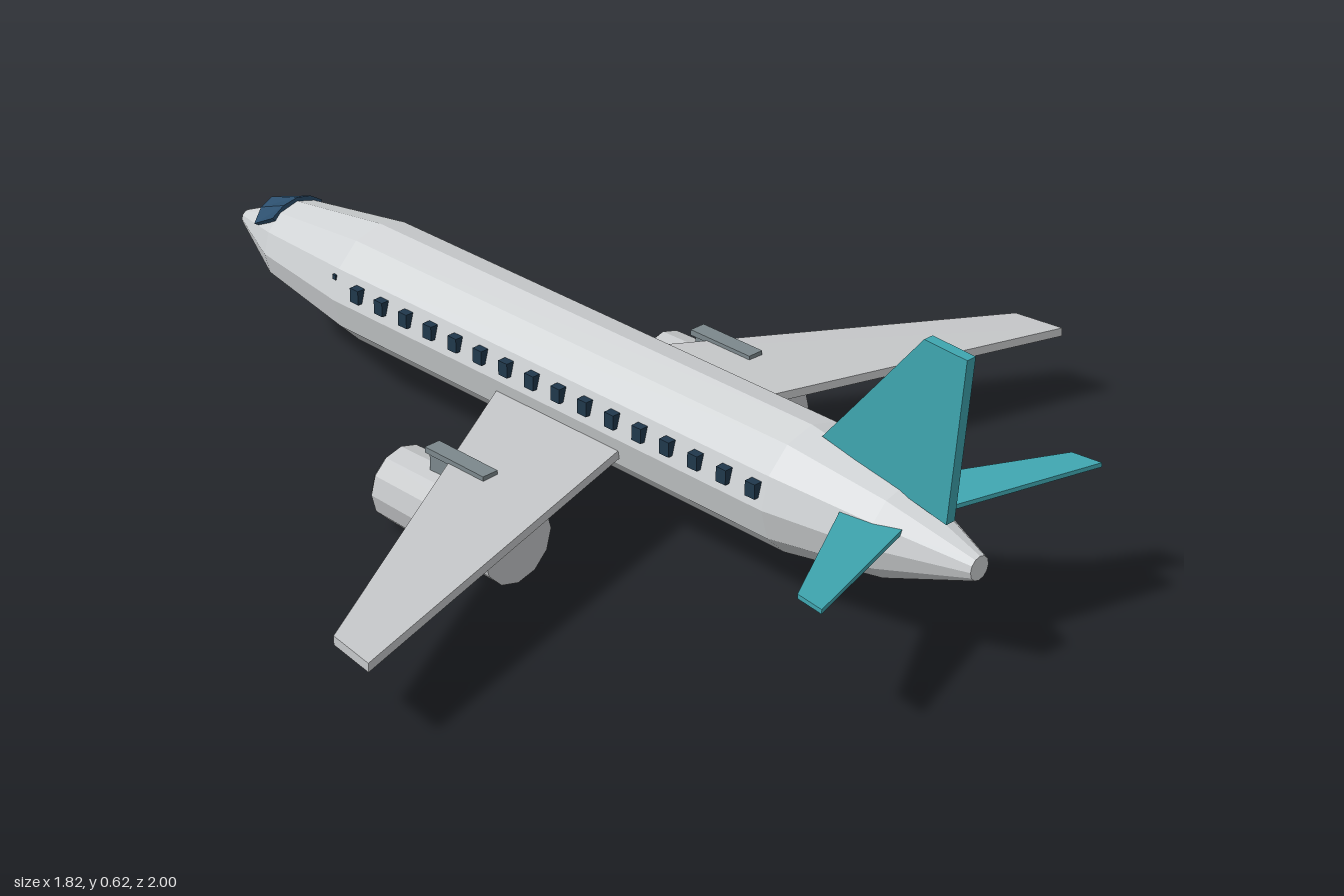
import * as THREE from 'three';
import { ConvexGeometry } from 'three/addons/geometries/ConvexGeometry.js';

const AXIS_Y = 0.234;

function makeMaterial(name, color) {
  const m = new THREE.MeshStandardMaterial({ color, flatShading: true });
  m.name = name;
  return m;
}

// Tapered slab: four corners and an extrusion offset
function slab(corners, offset) {
  const pts = [];
  for (const c of corners) {
    const p = new THREE.Vector3(...c);
    pts.push(p, p.clone().add(new THREE.Vector3(...offset)));
  }
  return new ConvexGeometry(pts);
}

// Cockpit glass: a raised band wrapped over the nose cone
function cockpitGlass() {
  const rows = [
    { r: 0.08, half: 0.74, z: -0.835, bow: 0 },
    { r: 0.098, half: 0.74, z: -0.835, bow: 0 },
    { r: 0.073, half: 1.03, z: -0.9, bow: -0.018 },
    { r: 0.045, half: 1.03, z: -0.9, bow: -0.018 },
  ];
  const cols = 4, pos = [], index = [];
  rows.forEach((row) => {
    for (let i = 0; i <= cols; i++) {
      const t = (i / cols) * 2 - 1, a = t * row.half;
      pos.push(Math.sin(a) * row.r, AXIS_Y + Math.cos(a) * row.r, row.z + row.bow * (1 - Math.abs(t)));
    }
  });
  for (let j = 0; j < rows.length - 1; j++) {
    for (let i = 0; i < cols; i++) {
      const a = j * (cols + 1) + i, b = a + 1, c = a + cols + 1, d = c + 1;
      index.push(a, b, c, b, d, c);
    }
  }
  // side walls
  const n = cols + 1;
  index.push(0, n, 2 * n, 0, 2 * n, 3 * n);
  index.push(cols, 2 * n + cols, n + cols, cols, 3 * n + cols, 2 * n + cols);
  const g = new THREE.BufferGeometry();
  g.setAttribute('position', new THREE.Float32BufferAttribute(pos, 3));
  g.setIndex(index);
  g.computeVertexNormals();
  return g;
}

export function createModel() {
  const group = new THREE.Group();
  group.name = 'airliner';
  const hull = makeMaterial('hull grey', 0xd0d3d5);
  const wingGrey = makeMaterial('wing grey', 0xc6c8ca);
  const teal = makeMaterial('tail teal', 0x3fa6b0);
  const windowBlue = makeMaterial('window navy', 0x20384c);
  const glass = makeMaterial('cockpit blue', 0x2c4f6e);
  glass.side = THREE.DoubleSide;
  const pylonGrey = makeMaterial('pylon grey', 0x7c888c);
  const fanDark = makeMaterial('fan dark', 0x3a3f43);

  const add = (name, geometry, material, x = 0, y = 0, z = 0, parent = group) => {
    const mesh = new THREE.Mesh(geometry, material);
    mesh.name = name;
    mesh.position.set(x, y, z);
    parent.add(mesh);
    return mesh;
  };

  // Fuselage, nose towards -z
  const profile = [[0, -1], [0.016, -1], [0.09, -0.835], [0.127, -0.575],
    [0.127, 0.6], [0.09, 0.82], [0.024, 1], [0, 1]].map(([r, z]) => new THREE.Vector2(r, z));
  add('fuselage', new THREE.LatheGeometry(profile, 12).rotateX(Math.PI / 2), hull, 0, AXIS_Y, 0);
  add('cockpitGlass', cockpitGlass(), glass);

  // Tail fin
  add('tailFin', slab([[-0.011, 0.625, 0.957], [-0.011, 0.63, 0.86],
    [-0.011, 0.355, 0.635], [-0.011, 0.295, 0.93]], [0.022, 0, 0]), teal);

  for (const s of [1, -1]) {
    const side = s > 0 ? 'left' : 'right';

    // Wing and tailplane
    add(side + 'Wing', slab([[s * 0.06, 0.19, -0.138], [s * 0.895, 0.162, 0.33],
      [s * 0.91, 0.162, 0.438], [s * 0.06, 0.19, 0.212]], [0, 0.018, 0]), wingGrey);
    add(side + 'Tailplane', slab([[s * 0.03, 0.268, 0.718], [s * 0.36, 0.281, 0.905],
      [s * 0.368, 0.281, 0.968], [s * 0.03, 0.268, 0.86]], [0, 0.009, 0]), teal);

    // Cabin windows
    for (let i = 0; i < 16; i++) {
      add(side + 'Window', new THREE.BoxGeometry(0.024, 0.03, 0.024), windowBlue,
        s * 0.12, 0.268, 0.575 - i * 0.072);
    }
    add(side + 'DoorMark', new THREE.BoxGeometry(0.009, 0.01, 0.01), windowBlue, s * 0.113, 0.279, -0.582);

    // Engine
    const engine = new THREE.Group();
    engine.name = side + 'Engine';
    engine.position.set(s * 0.347, 0.088, 0);
    group.add(engine);
    const drum = (name, rear, front, z0, z1, mat) => add(name,
      new THREE.CylinderGeometry(rear, front, z1 - z0, 12).rotateX(Math.PI / 2), mat, 0, 0, (z0 + z1) / 2, engine);
    drum('nacelle', 0.083, 0.076, -0.122, 0.2, wingGrey);
    drum('fan', 0.068, 0.066, -0.133, -0.11, fanDark);
    drum('spinner', 0.014, 0.007, -0.145, -0.13, pylonGrey);

    // Pylon: narrow block under a flat rail
    add(side + 'PylonBlock', new THREE.BoxGeometry(0.03, 0.05, 0.06), pylonGrey, s * 0.35, 0.178, 0.01);
    add(side + 'PylonRail', new THREE.BoxGeometry(0.036, 0.012, 0.16), pylonGrey, s * 0.35, 0.201, 0.05);
  }
  return group;
}
